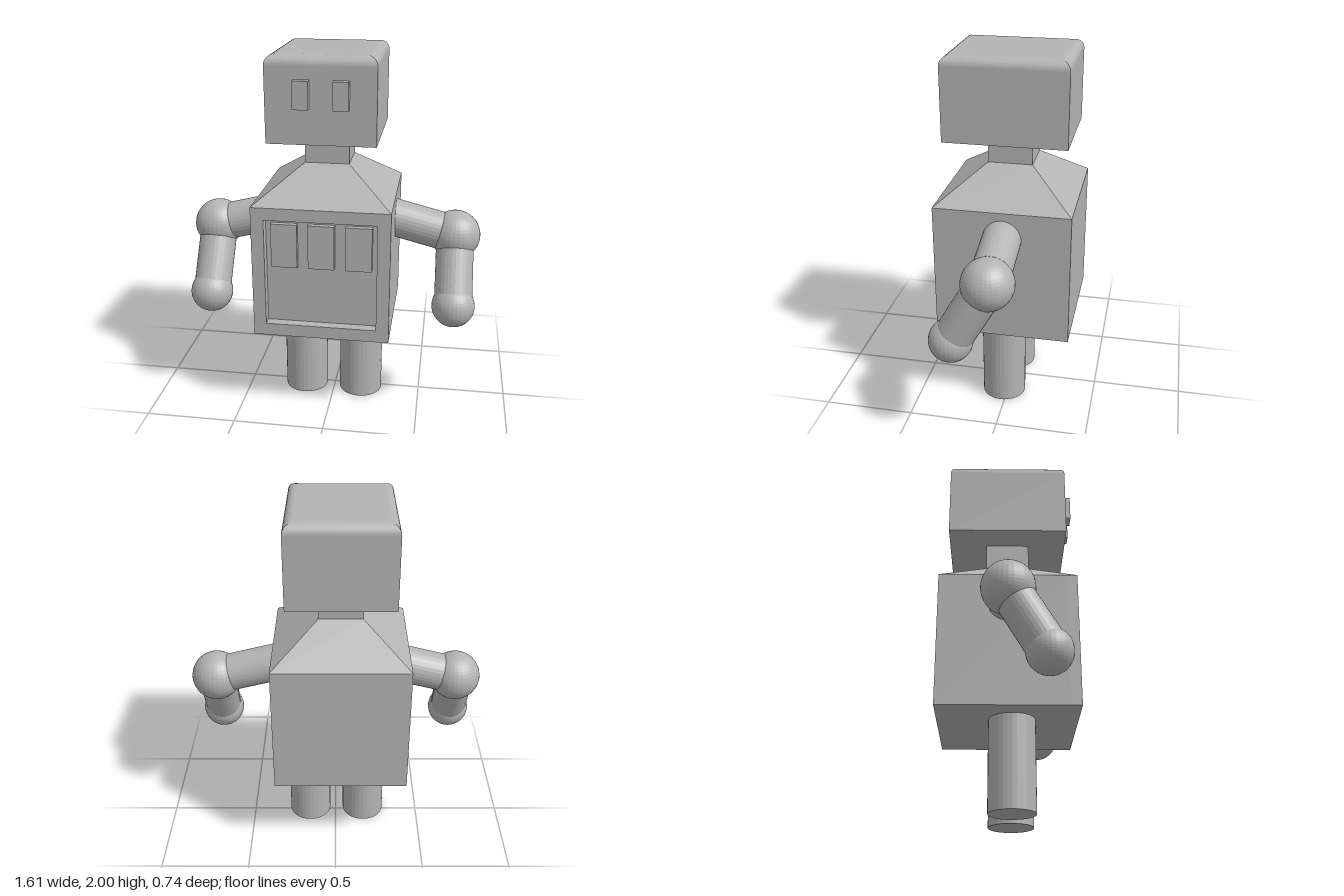
import * as THREE from 'three';

const BODY_X = -0.029; // the torso, neck and head sit slightly off centre

// Faceted surface: every face gets its own flat normals
function facet(geometry) {
  const flat = geometry.index ? geometry.toNonIndexed() : geometry;
  flat.computeVertexNormals();
  return flat;
}

// Loft of rectangular sections given as [halfWidth, halfDepth, y], bottom to top
function rectLoft(rows) {
  const positions = [];
  const corner = ([w, d, y], k) => {
    const sx = [-1, 1, 1, -1][k % 4];
    const sz = [1, 1, -1, -1][k % 4];
    return [sx * w, y, sz * d];
  };
  for (let i = 0; i < rows.length - 1; i++) {
    for (let k = 0; k < 4; k++) {
      const a = corner(rows[i], k), b = corner(rows[i], k + 1);
      const c = corner(rows[i + 1], k + 1), d = corner(rows[i + 1], k);
      if (rows[i][0] > 0) positions.push(...a, ...b, ...c);
      else positions.push(...a, ...c, ...d);
      if (rows[i][0] > 0 && rows[i + 1][0] > 0) positions.push(...a, ...c, ...d);
    }
  }
  const geometry = new THREE.BufferGeometry();
  geometry.setAttribute('position', new THREE.Float32BufferAttribute(positions, 3));
  return facet(geometry);
}

export function createModel() {
  const model = new THREE.Group();
  model.name = 'robot';
  const grey = new THREE.MeshStandardMaterial({ color: 0xb4b4b4 });
  grey.name = 'grey';

  function add(name, geometry, x = 0, y = 0, z = 0, parent = model) {
    const mesh = new THREE.Mesh(geometry, grey);
    mesh.name = name;
    mesh.position.set(x, y, z);
    parent.add(mesh);
    return mesh;
  }

  // Box from its lower and upper corners
  function addBox(name, [x0, y0, z0], [x1, y1, z1]) {
    return add(name, new THREE.BoxGeometry(x1 - x0, y1 - y0, z1 - z0),
      (x0 + x1) / 2, (y0 + y1) / 2, (z0 + z1) / 2);
  }

  // Cylinder running between two points
  function addLimb(name, from, to, radius, parent) {
    const a = new THREE.Vector3(...from);
    const b = new THREE.Vector3(...to);
    const dir = b.clone().sub(a);
    const mid = a.add(b).multiplyScalar(0.5);
    const mesh = add(name, facet(new THREE.CylinderGeometry(radius, radius, dir.length(), 32)),
      mid.x, mid.y, mid.z, parent);
    mesh.quaternion.setFromUnitVectors(new THREE.Vector3(0, 1, 0), dir.normalize());
  }

  // Torso: solid core plus a front frame that leaves the chest recess open
  const half = 0.368, y0 = 0.487, y1 = 1.222, recess = 0.055;
  addBox('torso', [BODY_X - half, y0, -half], [BODY_X + half, y1, half - recess]);
  const frame = new THREE.Shape([
    new THREE.Vector2(BODY_X - half, y0), new THREE.Vector2(BODY_X + half, y0),
    new THREE.Vector2(BODY_X + half, y1), new THREE.Vector2(BODY_X - half, y1),
  ]);
  frame.holes.push(new THREE.Path([
    new THREE.Vector2(-0.328, 0.556), new THREE.Vector2(-0.328, 1.154),
    new THREE.Vector2(0.27, 1.154), new THREE.Vector2(0.27, 0.556),
  ]));
  add('chestFrame', new THREE.ExtrudeGeometry(frame, { depth: recess, bevelEnabled: false }),
    0, 0, half - recess);

  // Three raised buttons on the recess floor
  for (const x of [-0.227, -0.029, 0.171]) {
    addBox('chestButton', [x - 0.07, 0.884, half - recess - 0.005], [x + 0.07, 1.127, half - recess + 0.03]);
  }

  // Sloping shoulders and neck
  add('shoulders', rectLoft([[half, half, y1], [0.119, 0.12, 1.405], [0, 0, 1.405]]), BODY_X);
  addBox('neck', [BODY_X - 0.119, 1.4, -0.12], [BODY_X + 0.119, 1.56, 0.12]);

  // Head: sharp upright edges, rounded top edges
  const headW = 0.282, headD = 0.328, round = 0.05;
  const headRows = [[0, 0, 1.555], [headW, headD, 1.555]];
  for (let i = 0; i <= 8; i++) {
    const t = (i / 8) * Math.PI / 2;
    const inset = round * (1 - Math.cos(t));
    headRows.push([headW - inset, headD - inset, 2 - round + round * Math.sin(t)]);
  }
  headRows.push([0, 0, 2]);
  add('head', rectLoft(headRows), BODY_X);

  // Eyes
  for (const x of [-0.124, 0.077]) {
    addBox('eye', [x - 0.04, 1.74, 0.31], [x + 0.04, 1.883, 0.369]);
  }

  // Legs and bent arms, one set per side
  for (const [side, s] of [['left', 1], ['right', -1]]) {
    addLimb(side + 'Leg', [s * 0.1615 - 0.0065, 0, 0.023], [s * 0.1615 - 0.0065, 0.49, 0.023], 0.123);

    const arm = new THREE.Group();
    arm.name = side + 'Arm';
    model.add(arm);
    const elbow = [s * 0.67 - 0.003, 0.99, -0.003];
    const hand = [s * 0.677 - 0.003, 0.649, 0.192];
    addLimb('upperArm', [s * 0.24 - 0.003, 1.098, -0.003], elbow, 0.104, arm);
    addLimb('forearm', elbow, hand, 0.103, arm);
    add('elbow', facet(new THREE.SphereGeometry(0.137, 32, 24)), ...elbow, arm);
    add('hand', facet(new THREE.SphereGeometry(0.117, 32, 24)), ...hand, arm);
  }

  return model;
}
